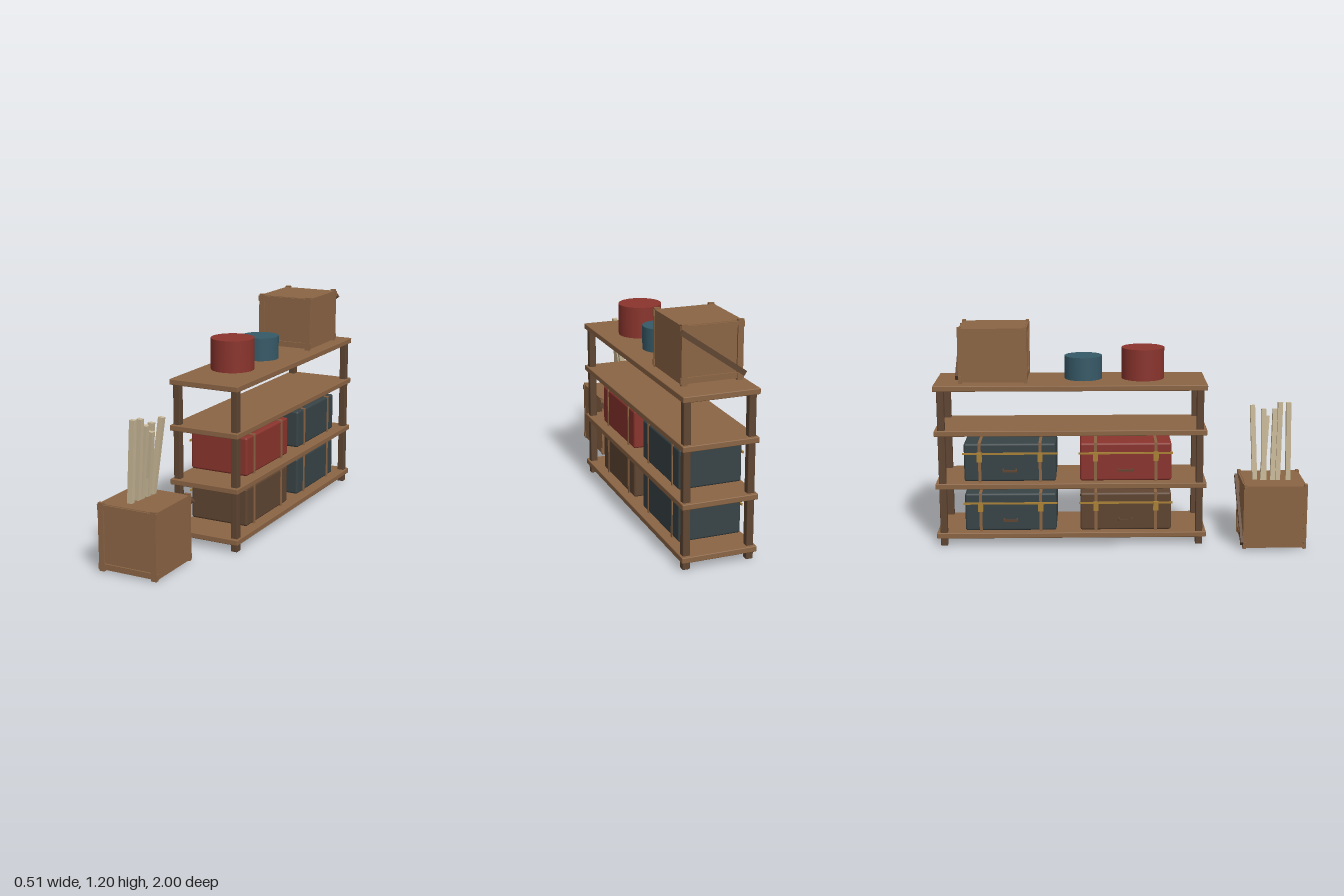
import * as THREE from 'three';
import { RoundedBoxGeometry } from 'three/addons/geometries/RoundedBoxGeometry.js';

const paint = (name, color) => {
  const m = new THREE.MeshStandardMaterial({ color });
  m.name = name;
  return m;
};

export function createModel() {
  const wood = paint('wood', 0x8b6544);
  const darkWood = paint('dark wood', 0x5f4532);
  const red = paint('red', 0x8a342d);
  const teal = paint('teal', 0x365967);
  const charcoal = paint('charcoal', 0x384346);
  const brass = paint('brass', 0xa98135);
  const pale = paint('pale stick', 0xc6b696);

  const model = new THREE.Group();
  model.name = 'storageShelf';

  const group = (name, parent, x = 0, y = 0, z = 0) => {
    const g = new THREE.Group();
    g.name = name;
    g.position.set(x, y, z);
    parent.add(g);
    return g;
  };
  // Box by size and centre; a radius gives softened edges
  const box = (name, parent, mat, size, pos, radius = 0) => {
    const geo = radius
      ? new RoundedBoxGeometry(...size, 2, radius)
      : new THREE.BoxGeometry(...size);
    const mesh = new THREE.Mesh(geo, mat);
    mesh.name = name;
    mesh.position.set(...pos);
    parent.add(mesh);
    return mesh;
  };

  // Shelf: four posts and four boards
  const shelf = group('shelf', model, 0.055, 0, -0.267);
  for (const sx of [-1, 1])
    for (const sz of [-1, 1])
      box('post', shelf, darkWood, [0.038, 0.87, 0.038], [sx * 0.169, 0.435, sz * 0.695], 0.004);
  for (const y of [0.058, 0.335, 0.628, 0.873])
    box('board', shelf, wood, [0.398, 0.03, 1.466], [0, y, 0], 0.004);

  // Suitcase: straps, closing bar, latches and handle, which face -x
  const suitcase = (name, mat, y, z) => {
    const g = group(name, model, 0.042, y, z);
    box('caseBody', g, mat, [0.336, 0.21, 0.495], [0, 0, 0], 0.012);
    for (const s of [-1, 1]) {
      box('strap', g, wood, [0.344, 0.216, 0.016], [0, 0, s * 0.163]);
      box('latch', g, brass, [0.014, 0.05, 0.028], [-0.177, 0.032, s * 0.163]);
      box('handleMount', g, darkWood, [0.03, 0.008, 0.008], [-0.182, -0.037, s * 0.035]);
    }
    box('closingBar', g, brass, [0.008, 0.01, 0.508], [-0.171, 0.05, 0]);
    box('handleGrip', g, darkWood, [0.008, 0.01, 0.078], [-0.198, -0.04, 0]);
  };
  suitcase('redSuitcase', red, 0.465, 0.028);
  suitcase('upperCharcoalSuitcase', charcoal, 0.465, -0.597);
  suitcase('brownSuitcase', darkWood, 0.187, 0.028);
  suitcase('lowerCharcoalSuitcase', charcoal, 0.187, -0.597);

  // Crate: body, a raised frame on front and back, a diagonal brace behind
  const crate = (name, w, h, d, x, y, z) => {
    const g = group(name, model, x, y, z);
    box('crateBody', g, wood, [w, h, d - 0.02], [0, 0, 0]);
    for (const sz of [-1, 1]) {
      const zf = sz * (d / 2 - 0.008);
      for (const s of [-1, 1]) {
        box('frameUpright', g, wood, [0.03, h + 0.014, 0.018], [s * (w / 2 - 0.014), 0, zf]);
        box('frameRail', g, wood, [w + 0.012, 0.03, 0.014], [0, s * (h / 2 - 0.018), zf]);
      }
    }
    const rise = h - 0.065;
    const brace = box('brace', g, darkWood, [Math.hypot(w, rise) + 0.02, 0.027, 0.015],
      [0, 0, -d / 2 - 0.008]);
    brace.rotation.z = Math.atan2(rise, w);
  };
  crate('topCrate', 0.318, 0.288, 0.365, 0.047, 1.046, -0.68);
  crate('floorCrate', 0.332, 0.344, 0.34, -0.076, 0.183, 0.829);

  // Drums on the top board
  const drum = (name, mat, r, h, z) => {
    const m = new THREE.Mesh(new THREE.CylinderGeometry(r, r, h, 40), mat);
    m.name = name;
    m.position.set(0.045, 0.896 + h / 2, z);
    model.add(m);
  };
  drum('redDrum', red, 0.116, 0.169, 0.125);
  drum('tealDrum', teal, 0.102, 0.125, -0.199);

  // Sticks leaning in the floor crate: base x, base z, top x, top z, top y
  const sticks = group('sticks', model);
  const up = new THREE.Vector3(0, 1, 0);
  for (const [bx, bz, tx, tz, ty] of [
    [-0.105, 0.912, -0.085, 0.907, 0.78],
    [-0.102, 0.855, -0.07, 0.865, 0.778],
    [-0.1, 0.827, -0.055, 0.84, 0.74],
    [-0.098, 0.782, -0.06, 0.777, 0.74],
    [-0.095, 0.773, -0.05, 0.797, 0.7],
    [-0.09, 0.733, -0.037, 0.718, 0.757],
  ]) {
    const base = new THREE.Vector3(bx, 0.34, bz);
    const dir = new THREE.Vector3(tx, ty, tz).sub(base);
    const len = dir.length();
    const s = box('stick', sticks, pale, [0.028, len, 0.026],
      base.addScaledVector(dir, 0.5).toArray());
    s.quaternion.setFromUnitVectors(up, dir.normalize());
  }

  return model;
}
